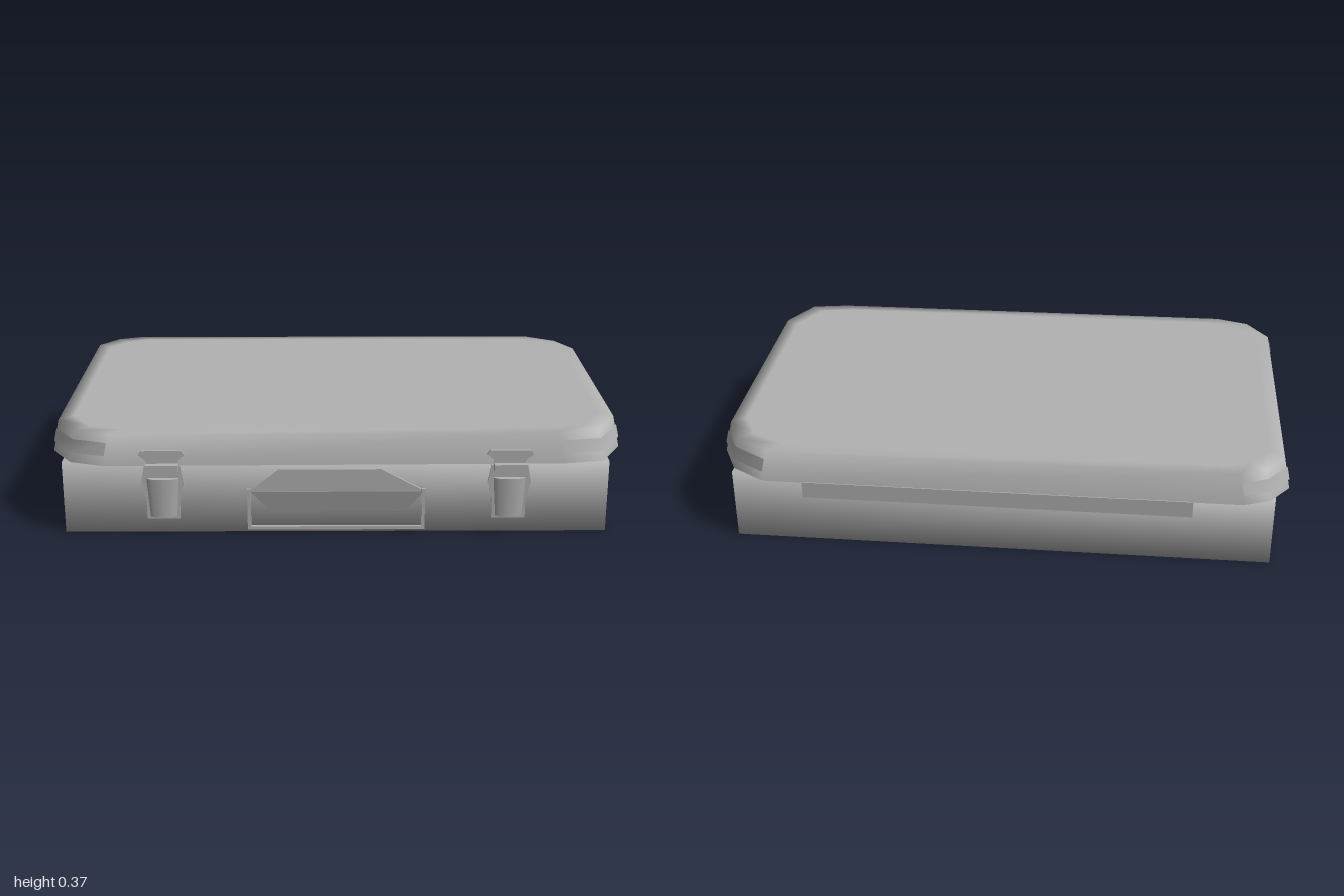
import * as THREE from 'three';
import { mergeVertices } from 'three/addons/utils/BufferGeometryUtils.js';

// Lid outline as [x, z], running clockwise from the back left when seen from above
const OUTLINE = [
  [-0.84, -0.655], [0.82, -0.655], [0.94, -0.58], [1, -0.46],
  [1, 0.43], [0.92, 0.58], [0.78, 0.605], [-0.8, 0.62],
  [-0.92, 0.58], [-1, 0.46], [-1, -0.53], [-0.93, -0.62],
];

export function createModel() {
  const grey = new THREE.MeshStandardMaterial({ color: 0xb2b2b2 });
  grey.name = 'grey metal';
  const greySheet = grey.clone();
  greySheet.name = 'grey sheet';
  greySheet.side = THREE.DoubleSide;

  const group = new THREE.Group();
  group.name = 'case';
  const add = (name, geometry, material = grey, parent = group) => {
    const mesh = new THREE.Mesh(geometry, material);
    mesh.name = name;
    parent.add(mesh);
    return mesh;
  };

  // Outline shrunk by d on every side, at height y
  const ring = (d, y) => OUTLINE.map(([x, z]) => [x * (1 - d), y, z * (1 - d / 0.64)]);

  // Skin between successive rings, optionally closed by a fan on the last one
  function loft(rings, cap) {
    const n = rings[0].length;
    const pos = rings.flat(2);
    const idx = [];
    for (let r = 0; r < rings.length - 1; r++) {
      for (let i = 0; i < n; i++) {
        const a = r * n + i, b = r * n + (i + 1) % n;
        idx.push(a, a + n, b, b, a + n, b + n);
      }
    }
    if (cap) {
      const last = (rings.length - 1) * n;
      pos.push(0, rings.at(-1)[0][1], 0);
      for (let i = 0; i < n; i++) idx.push(last + i, rings.length * n, last + (i + 1) % n);
    }
    const g = new THREE.BufferGeometry();
    g.setAttribute('position', new THREE.Float32BufferAttribute(pos, 3));
    g.setIndex(idx);
    g.computeVertexNormals();
    return g;
  }

  // Body: a plain box with softly blended shading
  let body = new THREE.BoxGeometry(1.89, 0.26, 1.19);
  body.deleteAttribute('normal');
  body.deleteAttribute('uv');
  body = mergeVertices(body);
  body.computeVertexNormals();
  add('body', body).position.set(-0.005, 0.13, -0.013);

  // Lid: sloping sides, flat top, flat underside
  add('lid', loft([ring(0, 0.26), ring(0.022, 0.368), ring(0.07, 0.37)], true));
  const under = new THREE.Shape(OUTLINE.map(([x, z]) => new THREE.Vector2(x, z)));
  const underGeo = new THREE.ShapeGeometry(under).rotateX(Math.PI / 2);
  add('lidUnderside', underGeo, greySheet).position.y = 0.26;

  // Corner guards: thin bands lying on the lid corners
  const low = ring(0.002, 0.295), high = ring(0.012, 0.34);
  [[1, 2, 3], [4, 5, 6], [7, 8, 9], [10, 11, 0]].forEach((corner) => {
    const pos = [], idx = [];
    corner.forEach((k, i) => {
      pos.push(...low[k], ...high[k]);
      if (i < 2) idx.push(2 * i, 2 * i + 1, 2 * i + 2, 2 * i + 2, 2 * i + 1, 2 * i + 3);
    });
    const g = new THREE.BufferGeometry();
    g.setAttribute('position', new THREE.Float32BufferAttribute(pos, 3));
    g.setIndex(idx);
    g.computeVertexNormals();
    add('cornerGuard', g, greySheet);
  });

  // Flat plate cut from [x, y] points, facing the front
  const plate = (points, depth) => new THREE.ExtrudeGeometry(
    new THREE.Shape(points.map(([x, y]) => new THREE.Vector2(x, y))),
    { depth, bevelEnabled: false });
  const mirrored = (half) => [...half, ...half.map(([x, y]) => [-x, y]).reverse()];

  // Latches
  const hook = mirrored([[0.05, 0.26], [0.055, 0.285], [0.08, 0.305], [0.07, 0.32]]);
  const backing = mirrored([[0.058, 0.07], [0.058, 0.14], [0.074, 0.2], [0.062, 0.265]]);
  for (const x of [-0.6, 0.59]) {
    const latch = new THREE.Group();
    latch.name = 'latch';
    latch.position.x = x;
    group.add(latch);
    add('latchHook', plate(hook, 0.008), grey, latch).position.z = 0.628;
    add('latchPlate', plate(backing, 0.008), grey, latch).position.z = 0.622;
    add('latchBridge', new THREE.BoxGeometry(0.11, 0.025, 0.028), grey, latch)
      .position.set(0, 0.262, 0.645);
    // Lever bulging towards its top
    const lever = new THREE.CylinderGeometry(0.055, 0.045, 0.14, 8);
    lever.scale(1, 1, 0.3);
    add('latchLever', lever, grey, latch).position.set(0, 0.15, 0.634);
  }

  // Handle grip: flat upper plate with a folded lower face
  const grip = [[-0.3, 0.17], [0.3, 0.17], [0.15, 0.25], [-0.2, 0.25]];
  add('handlePlate', plate(grip, 0.006)).position.z = 0.624;
  const fold = new THREE.BufferGeometry();
  fold.setAttribute('position', new THREE.Float32BufferAttribute([
    -0.3, 0.17, 0.636, 0.3, 0.17, 0.636, 0.23, 0.09, 0.618, -0.23, 0.09, 0.618], 3));
  fold.setIndex([0, 3, 1, 1, 3, 2]);
  fold.computeVertexNormals();
  add('handleGrip', fold, greySheet);

  // Handle frame: thin rectangular loop
  for (const x of [-0.305, 0.295]) {
    add('handleFrameSide', new THREE.BoxGeometry(0.012, 0.15, 0.01)).position.set(x, 0.105, 0.632);
  }
  add('handleFrameBottom', new THREE.BoxGeometry(0.61, 0.012, 0.01)).position.set(-0.005, 0.036, 0.632);

  // Hinge strip along the back
  add('hingeStrip', new THREE.BoxGeometry(1.35, 0.06, 0.006)).position.set(0.005, 0.232, -0.655);

  return group;
}
